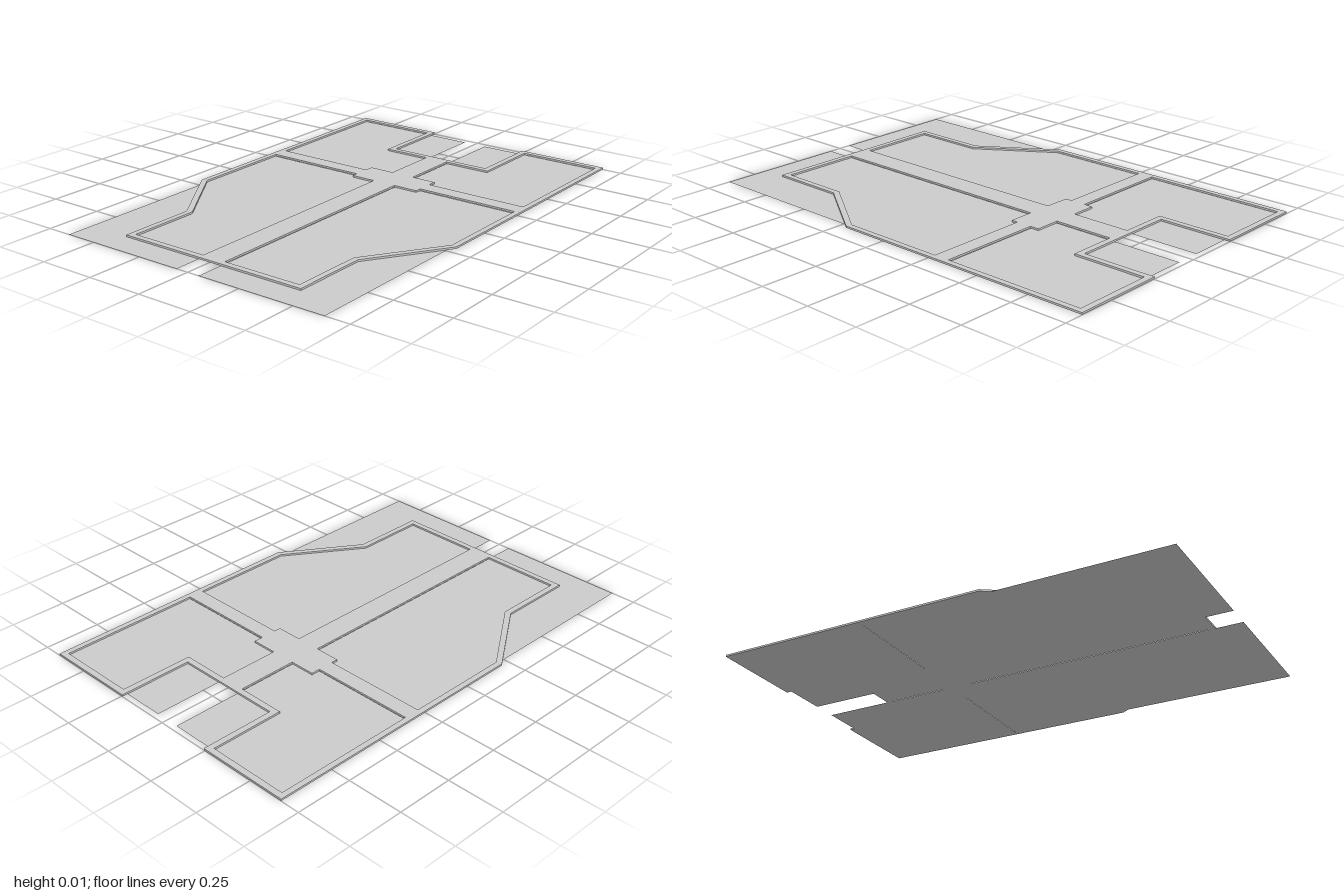
import * as THREE from 'three';

const BOTTOM = 0.001, TOP = 0.009;
const toVectors = (pts) => pts.map(([x, z]) => new THREE.Vector2(x, z));
const mirror = (pts) => pts.map(([x, z]) => [-x, z]).reverse();

export function createModel() {
  const group = new THREE.Group();
  const material = new THREE.MeshStandardMaterial({ color: 0xcccccc, side: THREE.DoubleSide });

  // Half outline of the frame on +x, as [x, z]
  const half = [
    [0.245, -0.672], [0.245, -1], [0.663, -1],
    [0.663, 0.21], [0.44, 0.542], [0.44, 0.882],
  ];

  // Openings on +x; the ribs widen near the crossing
  const rearOpening = [
    [0.055, -0.376], [0.17, -0.376], [0.17, -0.335], [0.638, -0.335],
    [0.638, -0.973], [0.272, -0.973], [0.272, -0.645], [0.055, -0.645],
  ];
  const frontOpening = [
    [0.055, -0.235], [0.17, -0.235], [0.17, -0.265], [0.638, -0.265],
    [0.638, 0.203], [0.414, 0.534], [0.414, 0.856], [0.055, 0.856],
  ];

  // Raised frame: thin slab with four openings
  const outline = new THREE.Shape(toVectors([...half, ...mirror(half)]));
  for (const opening of [rearOpening, frontOpening]) {
    outline.holes.push(new THREE.Path(toVectors(opening)));
    outline.holes.push(new THREE.Path(toVectors(mirror(opening))));
  }
  const frameGeometry = new THREE.ExtrudeGeometry(outline, { depth: TOP - BOTTOM, bevelEnabled: false });
  frameGeometry.rotateX(Math.PI / 2).translate(0, TOP, 0);
  const frame = new THREE.Mesh(frameGeometry, material);
  frame.name = 'raisedFrame';
  group.add(frame);

  // Flat sheets under the openings, separated below the ribs
  const addSheet = (name, side, z0, z1) => {
    const geometry = new THREE.PlaneGeometry(0.585, z1 - z0).rotateX(-Math.PI / 2);
    const sheet = new THREE.Mesh(geometry, material);
    sheet.position.set(side * 0.3475, 0, (z0 + z1) / 2);
    sheet.name = name;
    group.add(sheet);
  };
  for (const [label, side] of [['left', 1], ['right', -1]]) {
    addSheet(label + 'RearSheet', side, -0.975, -0.335);
    addSheet(label + 'FrontSheet', side, -0.265, 1);
  }

  return group;
}
